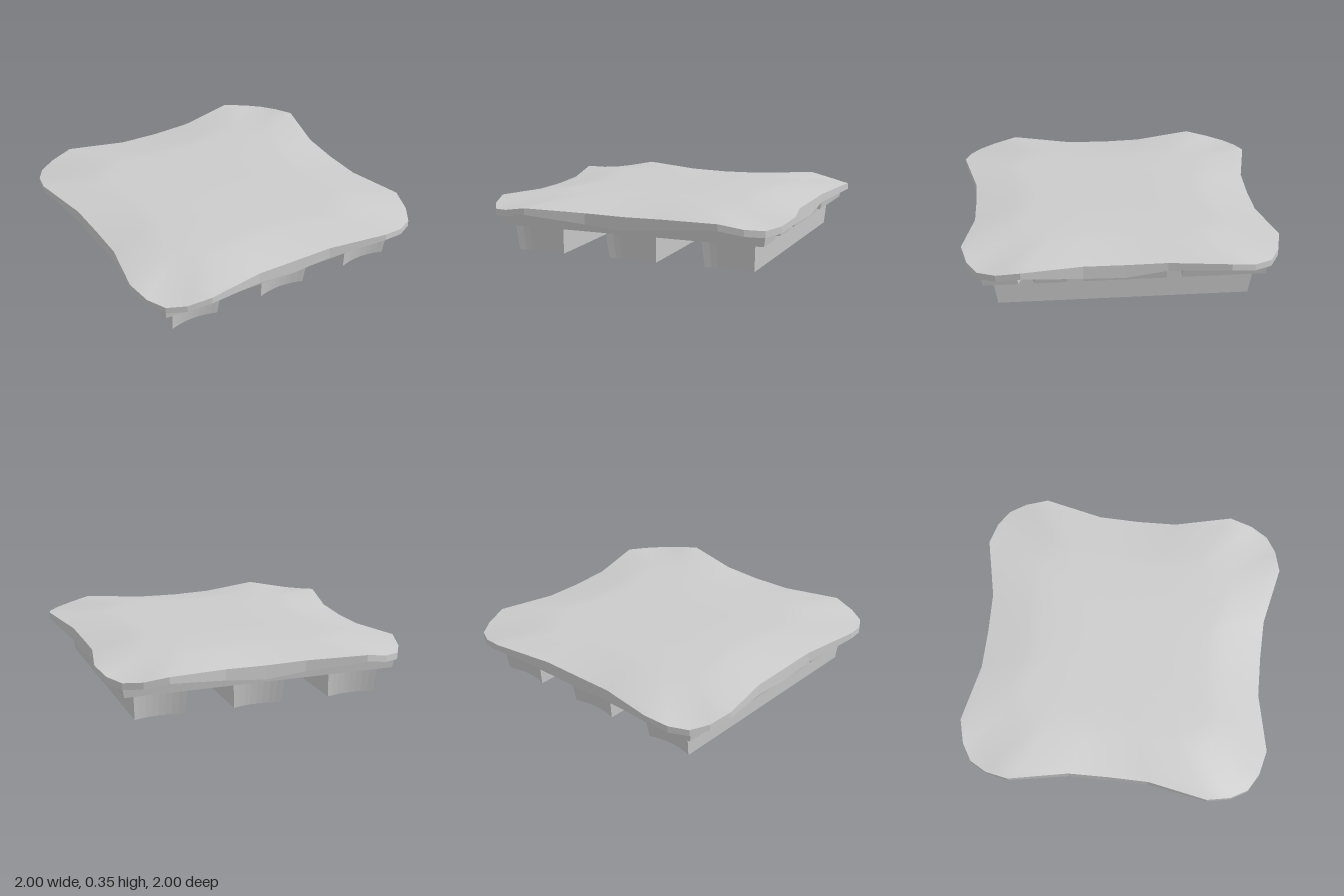
import * as THREE from 'three';

const grey = new THREE.MeshStandardMaterial({ color: 0xcccccc });
const greyFlat = new THREE.MeshStandardMaterial({ color: 0xcccccc, flatShading: true });

// One edge of the cover, from mid-edge to corner: [along, out, topY]
const EDGE = [[0, 0.915, 0.3], [0.26, 0.92, 0.305], [0.64, 1, 0.323], [0.79, 0.965, 0.295]];
const CORNER = [0.9, 0.9, 0.283];

// Closed outline, anticlockwise from above, with a top and a bottom height
function coverOutline() {
  const side = [
    ...EDGE.slice(1).reverse().map(([a, o, y]) => [-a, o, y]),
    ...EDGE.map((p) => [...p]),
    CORNER,
  ];
  const points = [];
  for (let k = 0; k < 4; k++) {
    const c = Math.round(Math.cos(k * Math.PI / 2)), s = Math.round(Math.sin(k * Math.PI / 2));
    for (const [a, o, top] of side) {
      const x = a * c + o * s, z = o * c - a * s;
      // The hem hangs lower in the middle of each side
      let drop = 0.042 + 0.048 * Math.max(0, 1 - Math.abs(a) / 0.64);
      if (k === 1 && Math.abs(a) < 0.5) drop += z * 0.06;
      points.push({ x, z, top, bottom: top - drop });
    }
  }
  return points;
}

// Joins rings of equal length into a surface; the first ring is the outermost
function loft(rings) {
  const n = rings[0].length, index = [];
  for (let r = 0; r < rings.length - 1; r++) {
    for (let i = 0; i < n; i++) {
      const j = (i + 1) % n, a = r * n + i, b = r * n + j;
      index.push(a, b, a + n, b, b + n, a + n);
    }
  }
  const geo = new THREE.BufferGeometry();
  geo.setAttribute('position', new THREE.Float32BufferAttribute(rings.flat(2), 3));
  geo.setIndex(index);
  geo.computeVertexNormals();
  return geo;
}

// Upright block from a plan shape (x, z), scaled in plan towards its foot
function block(shape, y0, y1, cx, footX, footZ) {
  const geo = new THREE.ExtrudeGeometry(shape, { depth: y1 - y0, bevelEnabled: false, curveSegments: 8 });
  geo.rotateX(-Math.PI / 2);
  const p = geo.attributes.position;
  for (let i = 0; i < p.count; i++) {
    const foot = p.getY(i) < 1e-4;
    p.setXYZ(i, cx + p.getX(i) * (foot ? footX : 1), p.getY(i) + y0, p.getZ(i) * (foot ? footZ : 1));
  }
  geo.computeVertexNormals();
  return geo;
}

function add(group, name, geo, material) {
  const mesh = new THREE.Mesh(geo, material);
  mesh.name = name;
  group.add(mesh);
}

export function createModel() {
  const model = new THREE.Group();
  model.name = 'coveredPallet';

  // Soft cover: domed top, thin hem and underside
  const cover = new THREE.Group();
  cover.name = 'cover';
  const outline = coverOutline();
  const topRing = (t) => outline.map((p) => {
    const s = Math.pow(Math.max(0, (t - 0.6) / 0.4), 1.15);
    return [p.x * t, 0.351 - (0.351 - p.top) * s, p.z * t];
  });
  const underRing = (t, f) => outline.map((p) => [p.x * t, p.bottom + (0.272 - p.bottom) * f, p.z * t]);
  add(cover, 'coverTop', loft([1, 0.93, 0.86, 0.78, 0.7, 0.6, 0.3, 0].map(topRing)), grey);
  add(cover, 'coverHem', loft([underRing(1, 0), topRing(1)]), greyFlat);
  add(cover, 'coverUnderside', loft([underRing(0, 1), underRing(0.85, 1), underRing(1, 0)]), greyFlat);
  model.add(cover);

  // Deck boards across the beams; the front one is split at its left end
  const boards = new THREE.Group();
  boards.name = 'deckBoards';
  for (const [z0, z1, split] of [[-0.885, -0.36], [-0.26, 0.26], [0.36, 0.885, true]]) {
    const s = new THREE.Shape();
    s.moveTo(-0.9, -z1);
    s.lineTo(0.9, -z1);
    if (split) {
      s.lineTo(0.9, -0.665);
      s.lineTo(0.76, -0.61);
      s.lineTo(0.9, -0.56);
    }
    s.lineTo(0.9, -z0);
    s.lineTo(-0.9, -z0);
    add(boards, 'deckBoard', block(s, 0.18, 0.272, 0, 0.98, 0.985), greyFlat);
  }
  model.add(boards);

  // Three tapered beams with hollowed ends
  const beams = new THREE.Group();
  beams.name = 'beams';
  const w = 0.172, l = 0.812, hollow = 0.06;
  for (const x of [-0.638, 0, 0.638]) {
    const s = new THREE.Shape();
    s.moveTo(-w, -l);
    s.quadraticCurveTo(0, -l + hollow, w, -l);
    s.lineTo(w, l);
    s.quadraticCurveTo(0, l - hollow, -w, l);
    s.lineTo(-w, -l);
    add(beams, 'beam', block(s, 0, 0.182, x, 0.92, 0.965), greyFlat);
  }
  model.add(beams);
  return model;
}
